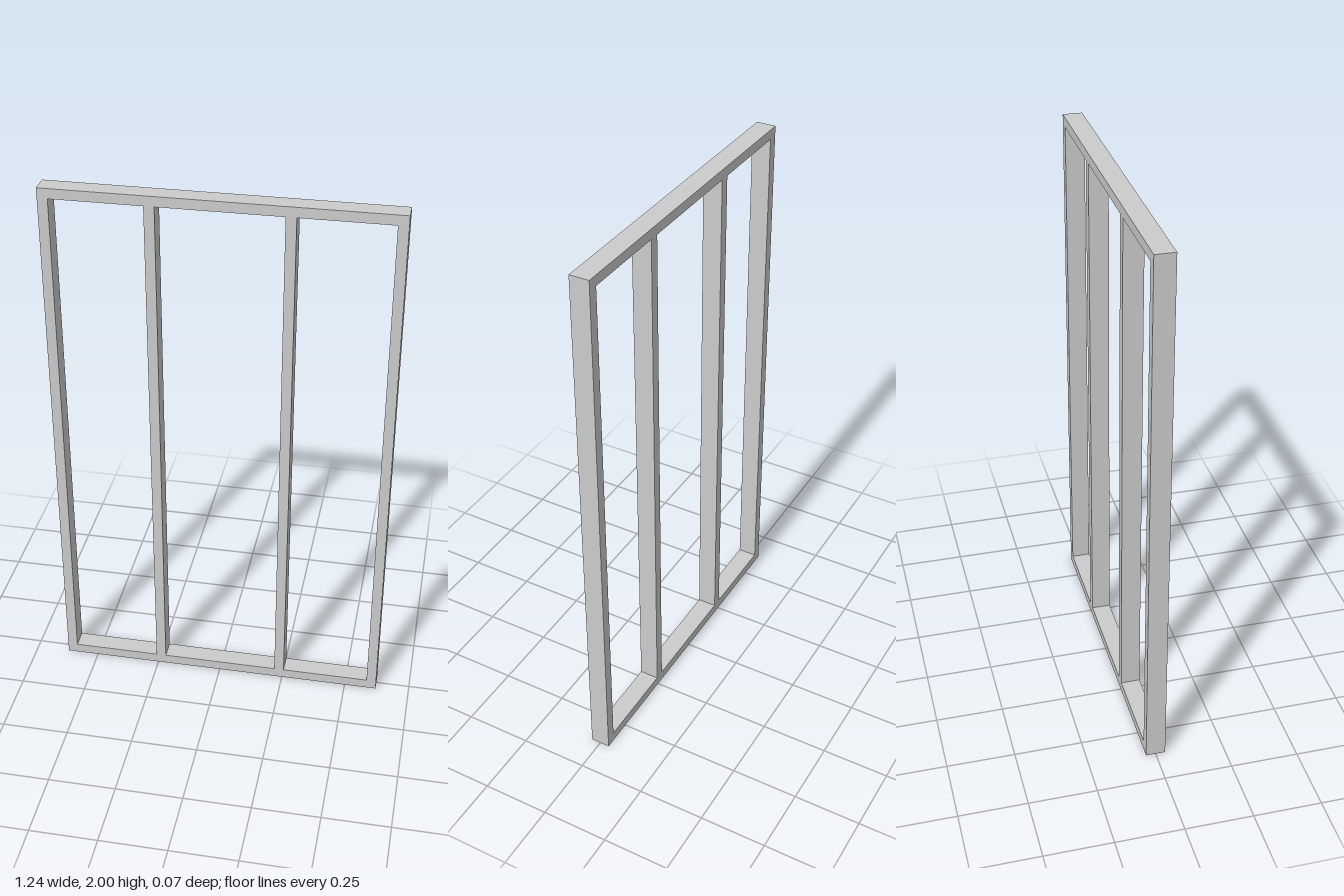
import * as THREE from 'three';

const WIDTH = 1.244, HEIGHT = 2, DEPTH = 0.072, THICK = 0.037;

export function createModel() {
  const group = new THREE.Group();
  group.name = 'wallFrame';
  const material = new THREE.MeshStandardMaterial({ color: 0xcccccc, flatShading: true });

  const addBeam = (name, w, h, x, y) => {
    const mesh = new THREE.Mesh(new THREE.BoxGeometry(w, h, DEPTH), material);
    mesh.name = name;
    mesh.position.set(x, y, 0);
    group.add(mesh);
  };

  // Full-width plates at the bottom and top
  addBeam('bottomPlate', WIDTH, THICK, 0, THICK / 2);
  addBeam('topPlate', WIDTH, THICK, 0, HEIGHT - THICK / 2);

  // Uprights butted between the plates, mirrored left and right
  const studHeight = HEIGHT - 2 * THICK;
  for (const [side, s] of [['left', 1], ['right', -1]]) {
    addBeam(side + 'EndStud', THICK, studHeight, s * (WIDTH - THICK) / 2, HEIGHT / 2);
    addBeam(side + 'InnerStud', THICK, studHeight, s * 0.238, HEIGHT / 2);
  }
  return group;
}
